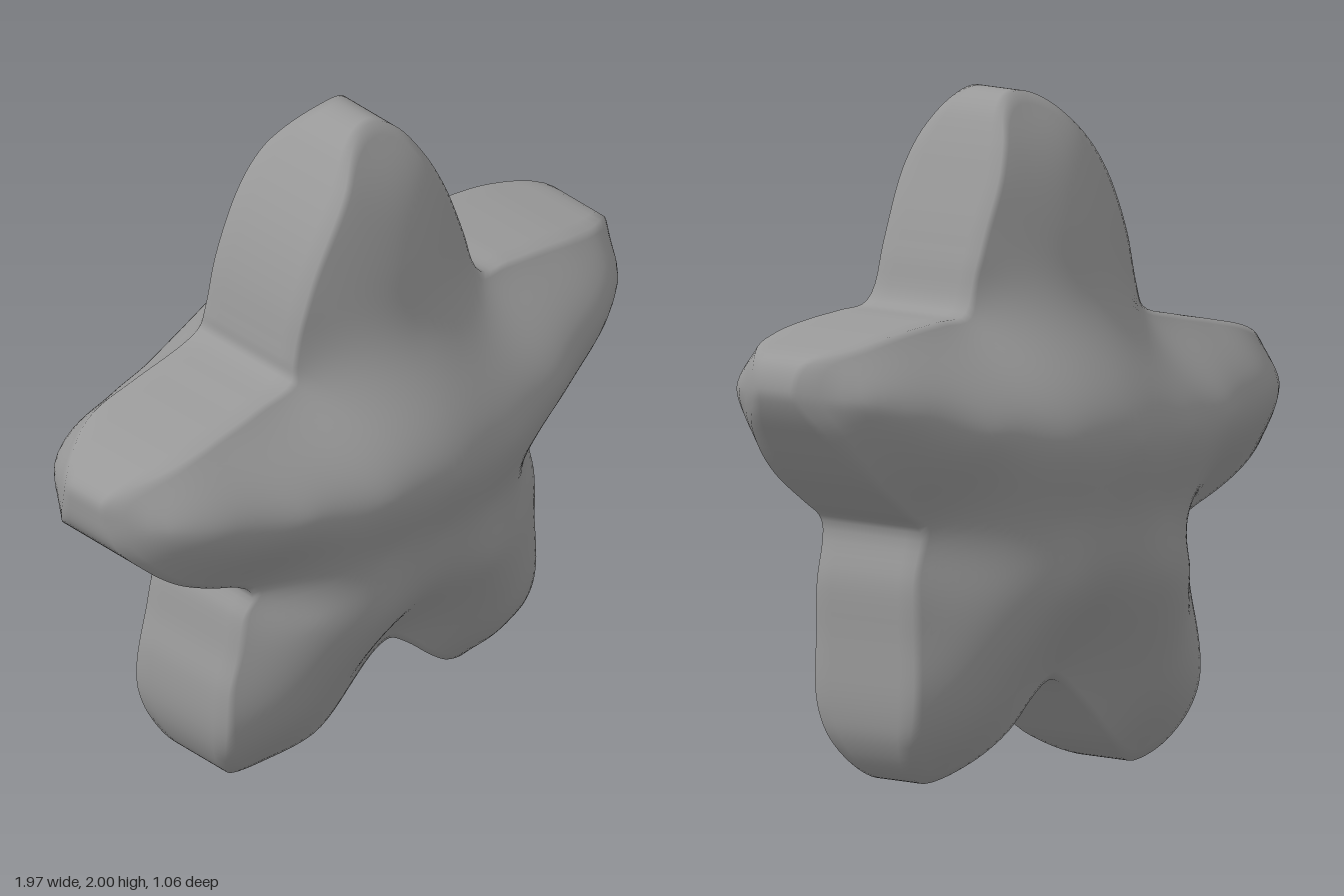
import * as THREE from 'three';

const CENTRE_Y = 1.0;

// Star outline, counter-clockwise from the tip of the model's left arm
const OUTLINE = [
  [0.98, 1.22], [0.95, 1.3], [0.8, 1.345], [0.65, 1.37], [0.5, 1.385], [0.385, 1.4],
  [0.33, 1.54], [0.29, 1.65], [0.24, 1.77], [0.19, 1.88], [0.14, 1.96], [0.08, 2.0],
  [0.02, 2.0], [-0.05, 1.965], [-0.12, 1.89], [-0.2, 1.78], [-0.26, 1.67], [-0.31, 1.54],
  [-0.345, 1.4], [-0.36, 1.345], [-0.5, 1.305], [-0.65, 1.275], [-0.8, 1.24], [-0.92, 1.19],
  [-0.98, 1.14], [-0.985, 1.08], [-0.97, 1.0], [-0.9, 0.92], [-0.8, 0.84], [-0.67, 0.77],
  [-0.515, 0.69], [-0.545, 0.6], [-0.57, 0.48], [-0.6, 0.36], [-0.605, 0.22], [-0.58, 0.12],
  [-0.53, 0.04], [-0.45, 0.002], [-0.37, 0.015], [-0.25, 0.08], [-0.13, 0.19], [-0.02, 0.28],
  [0.03, 0.295], [0.1, 0.25], [0.2, 0.16], [0.32, 0.07], [0.44, 0.025], [0.52, 0.06],
  [0.58, 0.15], [0.6, 0.25], [0.6, 0.45], [0.6, 0.62], [0.575, 0.78],
  [0.65, 0.84], [0.78, 0.94], [0.88, 1.05], [0.96, 1.16],
];

const TIPS = [[0.98, 1.22], [0.05, 2], [-0.985, 1.1], [-0.45, 0], [0.45, 0.02]];

// Half-thickness (x, y, z) along the ridges of the arms, head and legs
const RIDGES = [
  [0, 1.02, 0.53],
  [0.25, 1.03, 0.5], [0.5, 1.07, 0.428], [0.75, 1.14, 0.33], [0.9, 1.19, 0.235],
  [-0.25, 1.03, 0.5], [-0.5, 1.04, 0.428], [-0.75, 1.07, 0.33], [-0.9, 1.08, 0.235],
  [0.01, 1.2, 0.46], [0.02, 1.4, 0.335], [0.02, 1.6, 0.285], [0.03, 1.8, 0.215],
  [0, 0.8, 0.455], [0, 0.62, 0.425], [0.01, 0.45, 0.305],
];
for (const s of [-1, 1]) {
  RIDGES.push([s * 0.2, 0.8, 0.44], [s * 0.4, 0.76, 0.345], [s * 0.2, 0.6, 0.44],
    [s * 0.4, 0.6, 0.35], [s * 0.32, 0.42, 0.355], [s * 0.4, 0.25, 0.275], [s * 0.43, 0.12, 0.19]);
}

// The rim is thin at the five tips and thicker between them
function rimThickness(x, y) {
  const d = Math.min(...TIPS.map(([tx, ty]) => Math.hypot(x - tx, y - ty)));
  return 0.085 + 0.105 * THREE.MathUtils.smoothstep(d, 0, 0.28);
}

// Solve a small dense linear system with pivoting
function solve(rows) {
  const n = rows.length;
  for (let c = 0; c < n; c++) {
    let best = c;
    for (let r = c + 1; r < n; r++) if (Math.abs(rows[r][c]) > Math.abs(rows[best][c])) best = r;
    [rows[c], rows[best]] = [rows[best], rows[c]];
    for (let r = 0; r < n; r++) {
      if (r === c) continue;
      const f = rows[r][c] / rows[c][c];
      for (let k = c; k <= n; k++) rows[r][k] -= f * rows[c][k];
    }
  }
  return rows.map((row, i) => row[n] / row[i]);
}

// Smooth thin-plate surface through the given points
function thinPlate(points) {
  const kernel = (dx, dy) => {
    const q = dx * dx + dy * dy;
    return q > 0 ? q * Math.log(q) : 0;
  };
  const rows = points.map(([x, y, z], i) => [
    ...points.map(([px, py], j) => kernel(x - px, y - py) + (i === j ? 0.006 : 0)),
    1, x, y, z,
  ]);
  for (const term of [() => 1, (p) => p[0], (p) => p[1]]) {
    rows.push([...points.map(term), 0, 0, 0, 0]);
  }
  const w = solve(rows);
  const n = points.length;
  return (x, y) => points.reduce(
    (sum, [px, py], i) => sum + w[i] * kernel(x - px, y - py),
    w[n] + w[n + 1] * x + w[n + 2] * y);
}

function starGeometry(segments, rings) {
  const thickness = thinPlate([...RIDGES, ...OUTLINE.map(([x, y]) => [x, y, rimThickness(x, y)])]);
  const outline = new THREE.CatmullRomCurve3(
    OUTLINE.map(([x, y]) => new THREE.Vector3(x, y, 0)), true, 'centripetal');
  const edge = [];
  for (let i = 0; i < segments; i++) edge.push(outline.getPoint(i / segments));

  // Loops run from the front centre over the rim wall to the back centre
  const loops = [];
  for (let r = 1; r <= rings; r++) loops.push({ t: r / rings, side: 1 });
  for (const side of [0.7, 0, -0.7]) loops.push({ t: 1, side });
  for (let r = rings; r >= 1; r--) loops.push({ t: r / rings, side: -1 });

  const middle = thickness(0, CENTRE_Y);
  const positions = [0, CENTRE_Y, middle];
  for (const { t, side } of loops) {
    for (const e of edge) {
      const x = e.x * t, y = CENTRE_Y + (e.y - CENTRE_Y) * t;
      positions.push(x, y, thickness(x, y) * side);
    }
  }
  positions.push(0, CENTRE_Y, -middle);

  const index = [];
  const last = positions.length / 3 - 1;
  const at = (loop, i) => 1 + loop * segments + (i % segments);
  for (let i = 0; i < segments; i++) {
    index.push(0, at(0, i), at(0, i + 1));
    for (let l = 0; l < loops.length - 1; l++) {
      const a = at(l, i), b = at(l, i + 1), c = at(l + 1, i), d = at(l + 1, i + 1);
      index.push(a, c, d, a, d, b);
    }
    index.push(at(loops.length - 1, i), last, at(loops.length - 1, i + 1));
  }

  const geometry = new THREE.BufferGeometry();
  geometry.setAttribute('position', new THREE.Float32BufferAttribute(positions, 3));
  geometry.setIndex(index);
  geometry.computeVertexNormals();
  return geometry;
}

export function createModel() {
  const grey = new THREE.MeshStandardMaterial({ color: 0x999999 });
  grey.name = 'grey';

  const star = new THREE.Mesh(starGeometry(285, 28), grey);
  star.name = 'puffyStar';

  const model = new THREE.Group();
  model.name = 'star';
  model.add(star);
  return model;
}
